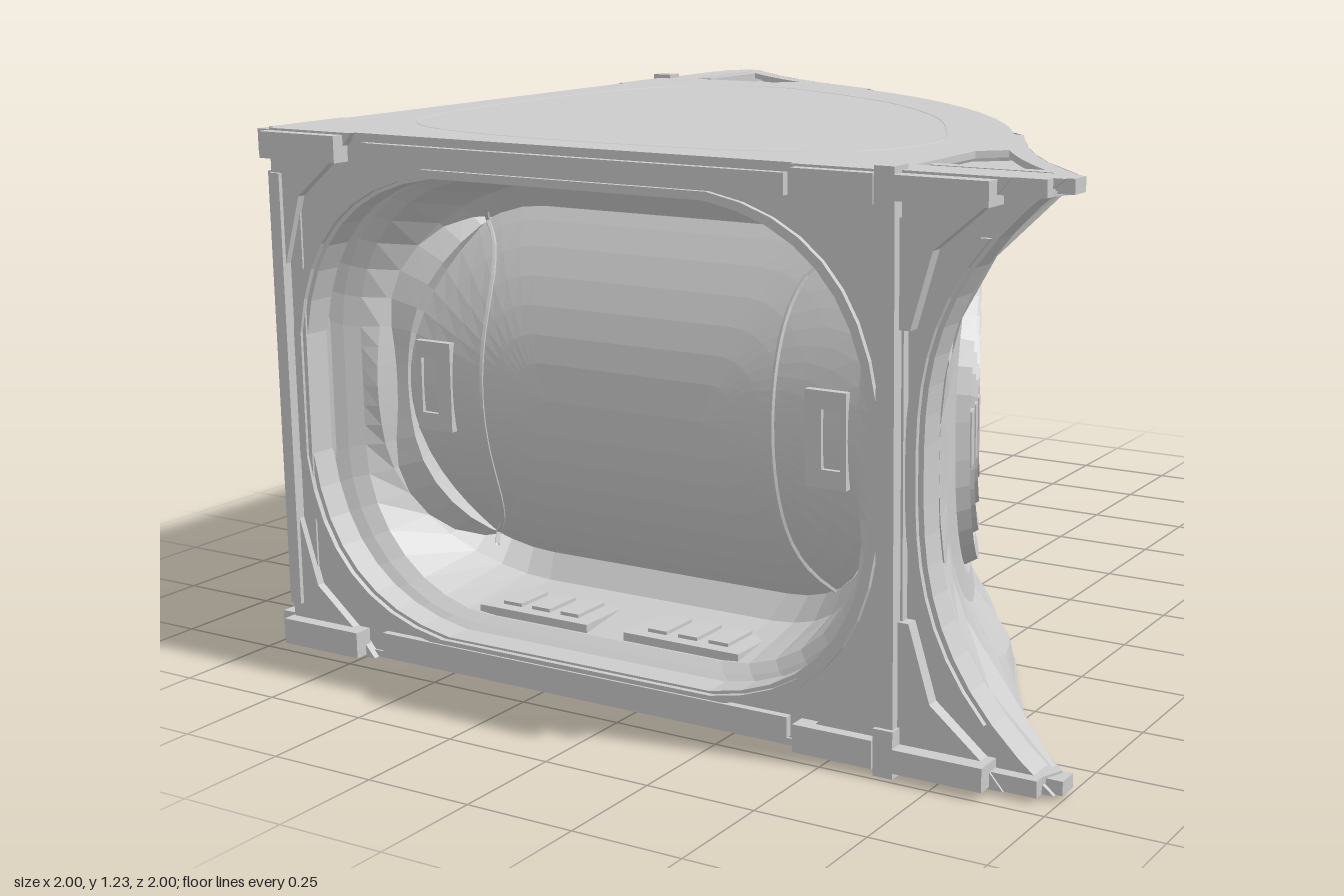
import * as THREE from 'three';

const MID = 0.625, HALF = 0.605, DEG = Math.PI / 180, END = 36.5, K = 1.9 * DEG;

// plan position on the curved wall: angle a (degrees from the diagonal), radius r
function polar(a, r, y) {
  const t = (45 - a) * DEG;
  return [-1.2 + r * Math.cos(t), y, 1.2 - r * Math.sin(t)];
}
// radius of the top and bottom rim, flaring out toward both ends
function rim(a) {
  const t = Math.max(0, (Math.abs(a) - 17.4) / 19.1);
  return 2 + (t > 0 ? 0.02 : 0) + 0.2 * t ** 2.6;
}
const flangeX = y => 0.7 + 0.29 * (Math.abs(y - MID) / HALF) ** 2.8;

// rounded rectangle with half sizes L and h; square pushes the corners out
function ringPoints(L, h, rc, square) {
  const pts = [], N = 8, corners = [[1, 1], [-1, 1], [-1, -1], [1, -1]];
  const corner = (c, i) => {
    const p = (c * 90 + i * 90 / N) * DEG, co = Math.cos(p), si = Math.sin(p);
    const m = square ? Math.max(Math.abs(co), Math.abs(si)) : 1;
    return [corners[c][0] * (L - rc) + rc * co / m, corners[c][1] * (h - rc) + rc * si / m];
  };
  for (let c = 0; c < 4; c++) {
    for (let i = 0; i <= N; i++) pts.push(corner(c, i));
    const p = corner(c, N), q = corner((c + 1) % 4, 0), m = c % 2 ? 6 : 24;
    for (let i = 1; i < m; i++) pts.push([p[0] + (q[0] - p[0]) * i / m, p[1] + (q[1] - p[1]) * i / m]);
  }
  return pts;
}
// ring on the curved wall, with its own radius at the ends and along the top
function ring(h, a, rEnd, rTop = rEnd, step = 0) {
  return ringPoints(a * K, h, (h > 0.2 ? 0.88 : 0.65) * h).map(([s, y]) => {
    const b = s / K, r = rEnd + (rTop - rEnd) * (y / h) ** 4 + (Math.abs(b) > 17.4 ? step : 0);
    return polar(b, r, MID + y);
  });
}
// boundary of the outer wall: flared rims and concave ends
function boundary() {
  return ringPoints(END * K, HALF, 0.5, true).map(([s, dy]) => {
    const y = MID + dy;
    if (Math.abs(dy) > HALF - 0.0005) return polar(s / K, rim(s / K), y);
    const x = flangeX(y), z = 0.865;
    return s > 0 ? [x, y, z] : [-z, y, -x];
  });
}

// surface joining successive loops
function loft(rings, flip) {
  const pos = [];
  const n = rings[0].length;
  for (let k = 0; k + 1 < rings.length; k++) for (let i = 0; i < n; i++) {
    const j = (i + 1) % n, A = rings[k][i], B = rings[k][j], C = rings[k + 1][j], D = rings[k + 1][i];
    pos.push(...(flip ? [A, C, B, A, D, C] : [A, B, C, A, C, D]).flat());
  }
  const g = new THREE.BufferGeometry();
  g.setAttribute('position', new THREE.Float32BufferAttribute(pos, 3));
  g.computeVertexNormals();
  return g;
}

// reflection across the diagonal, with corner order restored
function mirrored(geo) {
  const g = geo.index ? geo.toNonIndexed() : geo.clone();
  g.deleteAttribute('uv');
  const p = g.attributes.position;
  for (let i = 0; i < p.count; i += 3) {
    const v = [0, 2, 1].map(k => [-p.getZ(i + k), p.getY(i + k), -p.getX(i + k)]);
    v.forEach((q, k) => p.setXYZ(i + k, ...q));
  }
  g.computeVertexNormals();
  return g;
}
function box(x0, x1, y0, y1, z0, z1) {
  return new THREE.BoxGeometry(x1 - x0, y1 - y0, z1 - z0).translate((x0 + x1) / 2, (y0 + y1) / 2, (z0 + z1) / 2);
}
const shapeOf = pts => new THREE.Shape(pts.map(p => new THREE.Vector2(...p)));
function plate(shape, z0, z1) {
  return new THREE.ExtrudeGeometry(shape, { depth: z1 - z0, bevelEnabled: false, curveSegments: 8 }).translate(0, 0, z0);
}
function slab(pts, y0, y1) {
  return plate(shapeOf(pts.map(([x, z]) => [x, -z])), y0, y1).rotateX(-Math.PI / 2);
}
function roundHole(x0, x1, y0, y1, r) {
  const p = new THREE.Path(), k = r * 0.12;
  p.moveTo(x0 + r, y0).lineTo(x1 - r, y0).quadraticCurveTo(x1 - k, y0 + k, x1, y0 + r);
  p.lineTo(x1, y1 - r).quadraticCurveTo(x1 - k, y1 - k, x1 - r, y1);
  p.lineTo(x0 + r, y1).quadraticCurveTo(x0 + k, y1 - k, x0, y1 - r);
  p.lineTo(x0, y0 + r).quadraticCurveTo(x0 + k, y0 + k, x0 + r, y0);
  return p;
}

export function createModel() {
  const model = new THREE.Group();
  const mat = new THREE.MeshStandardMaterial({ color: 0xcccccc, flatShading: true, side: THREE.DoubleSide });
  const add = (name, geo) => {
    const m = new THREE.Mesh(geo, mat);
    m.name = name;
    model.add(m);
    return m;
  };
  const pair = (name, geo) => { add(name, geo); add(name + 'Mirrored', mirrored(geo)); };

  // outer curved wall: hollow border, then stepped ribs around a long slot
  const outer = [boundary(), ring(0.53, 34, 1.915, 1.985, 0.02), ring(0.5, 33, 1.905, 1.965, 0.02),
    ring(0.42, 30.6, 1.905, 1.925), ring(0.36, 28.6, 1.905, 1.915)];
  for (let k = 0; k < 4; k++) {
    const h = 0.345 - 0.06 * k, a = 27.9 - 2 * k, r = 1.905;
    outer.push(ring(h, a, r), ring(h - 0.012, a - 0.5, r + 0.028), ring(h - 0.042, a - 1.4, r + 0.02), ring(h - 0.05, a - 1.8, r - 0.01));
  }
  outer.push(ring(0.105, 20.2, 1.9), ring(0.1, 20, 1.862), ring(0.0001, 18.5, 1.862));
  add('outerWall', loft(outer, true));

  // roof and base, with lowered infill and a rim band at each flared end
  const arc = (a0, a1, inset = 0) => Array.from({ length: 31 }, (_, i) => {
    const a = a0 + (a1 - a0) * i / 30, p = polar(a, rim(a) - inset, 0);
    return [p[0], p[2]];
  });
  const cover = [[-0.95, 0.95], [0.64, 0.95], [0.64, 0.6], ...arc(25.5, -25.5), [-0.6, -0.64], [-0.95, -0.64]];
  const infill = [[0.62, 0.925], [0.62, 0.58], ...arc(25, END, 0.015), [0.96, 0.925]];
  const band = [...arc(17.5, END), ...arc(END, 17.5, 0.045)];
  add('roof', slab(cover, 1.215, 1.23));
  add('base', slab(cover, 0.02, 0.035));
  for (const [name, y] of [['roof', 1.215], ['base', 0.02]]) {
    pair(name + 'Band', slab(band, y, y + 0.015));
    pair(name + 'Infill', slab(infill, y + (y > 1 ? -0.02 : 0.02), y + (y > 1 ? -0.01 : 0.035)));
  }

  // faint raised outline on roof and base
  const half = [[0.25, 0.02], [0.42, 0.3], [0.5, 0.5], [0.45, 0.7], [0.28, 0.81], [0, 0.85], [-0.4, 0.84], [-0.66, 0.77]];
  const loop = [...half, ...half.map(([x, z]) => [-z, -x]).reverse()];
  for (const y of [0.025, 1.225]) {
    const curve = new THREE.CatmullRomCurve3(loop.map(([x, z]) => new THREE.Vector3(x, y, z)), true);
    add('coverOutline', new THREE.TubeGeometry(curve, 72, 0.006, 5, true));
  }

  // frames on both straight sides
  const frame = shapeOf([[-0.95, 0.02], [0.66, 0.02], [0.66, 1.23], [-0.95, 1.23]]);
  frame.holes.push(roundHole(-0.88, 0.58, 0.1, 1.14, 0.38));
  pair('sideFrame', plate(frame, 0.88, 0.945));
  const trim = new THREE.Shape(roundHole(-0.91, 0.605, 0.08, 1.16, 0.39).getPoints(8));
  trim.holes.push(roundHole(-0.89, 0.59, 0.095, 1.145, 0.38));
  pair('frameTrim', plate(trim, 0.94, 0.957));

  // recess behind each frame, closed by a bulging horizontal panel
  const CX = -0.15, bulge = dy => 0.75 - 0.16 * (dy / 0.41) ** 2;
  const recess = (L, h, rc, z) => ringPoints(L, h, rc).map(([x, y]) => [CX + x, MID + y, z(y)]);
  pair('recess', loft([
    recess(0.75, 0.535, 0.37, () => 0.89),
    recess(0.7, 0.515, 0.37, () => 0.86),
    recess(0.67, 0.5, 0.36, () => 0.835),
    recess(0.635, 0.47, 0.33, y => 0.825 - 0.2 * (y / 0.47) ** 2),
    recess(0.615, 0.415, 0.29, y => bulge(y) - 0.005),
  ], false));
  const panel = [1, 0.93, 0.8, 0.65, 0.5, 0.35, 0.2, 0].map(f =>
    recess(0.615 - 0.41 * (1 - f), 0.415 * f, 0.29 * f, bulge));
  pair('bulgingPanel', loft(panel, false));
  for (const s of [-1, 1]) {
    // seams across the panel and a grip near each end
    const seam = Array.from({ length: 13 }, (_, i) => {
      const dy = -0.4 + 0.8 * i / 12;
      return new THREE.Vector3(CX + s * (0.39 + 0.1 * (dy / 0.4) ** 6), MID + dy, bulge(dy));
    });
    pair('panelSeam', new THREE.TubeGeometry(new THREE.CatmullRomCurve3(seam), 24, 0.006, 5));
    const x = CX + s * 0.525;
    const grip = shapeOf([[x - 0.05, 0.52], [x + 0.05, 0.52], [x + 0.05, 0.73], [x - 0.05, 0.73]]);
    grip.holes.push(shapeOf([[x - s * 0.01, 0.56], [x + s * 0.035, 0.56], [x + s * 0.035, 0.69], [x - s * 0.01, 0.69]]));
    pair('grip', plate(grip, 0.73, 0.757));
    // vented plates on the recess floor
    const v = CX + s * 0.2;
    pair('floorPlate', box(v - 0.15, v + 0.15, 0.12, 0.145, 0.67, 0.83));
    for (let i = -1; i <= 1; i++) pair('floorVent', box(v + i * 0.08 - 0.025, v + i * 0.08 + 0.025, 0.14, 0.153, 0.7, 0.8));
  }

  // concave end flange
  const edge = Array.from({ length: 21 }, (_, i) => {
    const y = 0.02 + 1.21 * i / 20;
    return [flangeX(y) - 0.005, y];
  });
  pair('endFlange', plate(shapeOf([[0.62, 0.02], ...edge, [0.62, 1.23]]), 0.86, 0.925));
  const inset = d => edge.slice(2, 19).map(([x, y]) => [x - d, y]);
  pair('flangeLip', plate(shapeOf([...inset(0.035), ...inset(0.012).reverse()]), 0.92, 0.937));

  // vertical strips
  pair('frameStrip', box(0.615, 0.655, 0.1, 1.16, 0.94, 0.975));
  pair('cornerStrip', box(-0.945, -0.915, 0.12, 1.13, 0.94, 0.975));

  // details at the top and bottom of each frame
  for (const top of [false, true]) {
    const Y = y => top ? 1.25 - y : y;
    const bar = (name, x0, x1, y0, y1, z0, z1) =>
      pair(name, box(x0, x1, Math.min(Y(y0), Y(y1)), Math.max(Y(y0), Y(y1)), z0, z1));
    const gusset = (x, d, w, t) =>
      pair('cornerGusset', plate(shapeOf([[0, 0.02], [w, 0.02], [w * 0.82, 0.07], [w * 0.32, 0.17], [w * 0.12, 0.33], [0, 0.33]]
        .map(([u, y]) => [x + d * u, Y(y)])), 0.92, t));
    gusset(-0.945, 1, 0.24, 0.965);
    gusset(0.635, -1, 0.22, 0.965);
    gusset(0.65, 1, 0.24, 0.955);
    bar('railBar', -0.68, 0.4, 0.04, 0.085, 0.94, 0.962);
    bar('cornerPad', -0.95, -0.73, 0.025, 0.085, 0.95, 0.995);
    bar('framePad', 0.43, 0.615, 0.025, 0.085, 0.95, 0.99);
    bar('connector', 0.615, 0.66, 0.01, 0.11, 0.93, 0.985);
    bar('flangePad', 0.66, 0.86, 0.025, 0.075, 0.92, 0.99);
    bar('flangeFinger', 0.84, 0.96, 0.02, 0.055, 0.87, 0.95);
    bar('flangeTip', 0.94, 1, 0.02, 0.05, 0.865, 0.915);
    bar('flangeRib', 0.66, 0.94, 0.02, 0.045, 0.82, 0.85);
  }

  // small parts set on the curved wall
  const onWall = (name, a, r, y, w, h, d) => {
    const m = add(name, new THREE.BoxGeometry(d, h, w));
    m.position.set(...polar(a, r, y));
    m.rotation.y = (45 - a) * DEG;
  };
  for (const s of [-1, 1]) {
    for (let k = 0; k < 3; k++) onWall('slotDetent', s * (26.6 - 2 * k), 1.91, MID, 0.04, 0.12, 0.05);
    for (const v of [-1, 1]) onWall('slotClip', s * 6, 1.868, MID + v * 0.09, 0.05, 0.03, 0.04);
  }
  return model;
}
